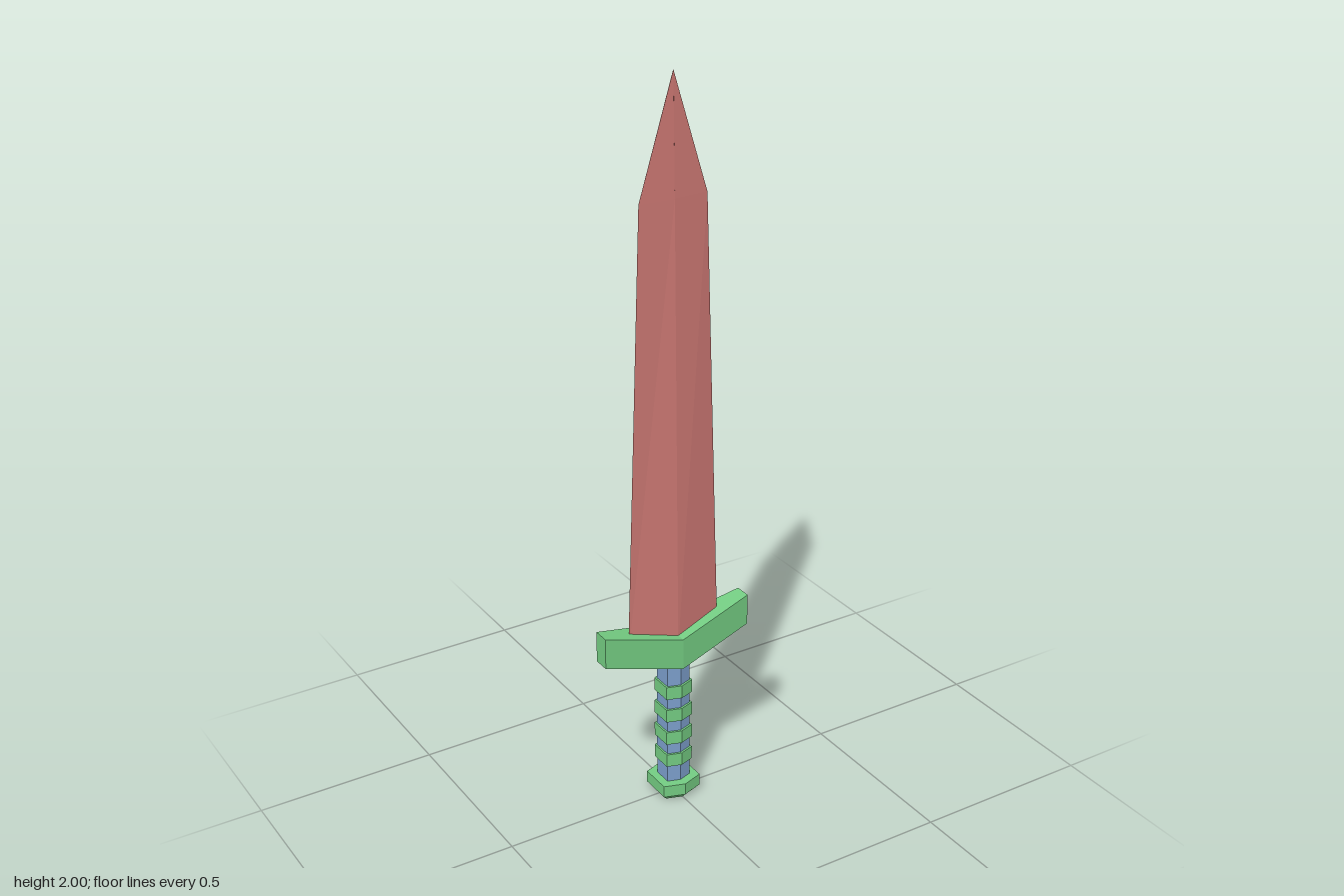
import * as THREE from 'three';

const mat = (color) => new THREE.MeshStandardMaterial({ color, flatShading: true });
const RED = mat(0xcc7873), GREEN = mat(0x74cc82), BLUE = mat(0x7c9fcc);

// Skins a list of equal-length rings of [x, y, z] points and caps both ends.
function loft(name, rings, material) {
  const n = rings[0].length, last = (rings.length - 1) * n, index = [];
  for (let i = 0; i < rings.length - 1; i++) {
    for (let j = 0; j < n; j++) {
      const k = (j + 1) % n, a = i * n + j, b = i * n + k;
      index.push(a, b, b + n, a, b + n, a + n);
    }
  }
  for (let j = 1; j < n - 1; j++) {
    index.push(0, j + 1, j, last, last + j, last + j + 1);
  }
  const indexed = new THREE.BufferGeometry();
  indexed.setAttribute('position', new THREE.Float32BufferAttribute(rings.flat(2), 3));
  indexed.setIndex(index);
  const geometry = indexed.toNonIndexed();
  geometry.computeVertexNormals();
  const mesh = new THREE.Mesh(geometry, material);
  mesh.name = name;
  return mesh;
}

// Ring shapes: a hexagon pointed to front and back, and a thin diamond
const hexRing = (y, w, d) => [[0, d], [w, d * 0.7], [w, -d * 0.7], [0, -d], [-w, -d * 0.7], [-w, d * 0.7]]
  .map(([x, z]) => [x, y, z]);
const diamondRing = (y, w, d) => [[0, y, d], [w, y, 0], [0, y, -d], [-w, y, 0]];

export function createModel() {
  const sword = new THREE.Group();
  sword.name = 'sword';

  // Blade, tapering to a point
  sword.add(loft('blade', [
    diamondRing(0.46, 0.139, 0.025),
    diamondRing(1.69, 0.097, 0.007),
    diamondRing(2.0, 0.0005, 0.0005),
  ], RED));

  // V-shaped crossguard, thickest in the middle
  const guardRing = (x, lo, hi, d) => [[x, lo, -d], [x, hi, -d], [x, hi, d], [x, lo, d]];
  sword.add(loft('crossguard', [
    guardRing(-0.22, 0.465, 0.553, 0.023),
    guardRing(0, 0.408, 0.497, 0.05),
    guardRing(0.22, 0.465, 0.553, 0.023),
  ], GREEN));

  // Grip with four raised bands
  sword.add(loft('grip', [hexRing(0.04, 0.035, 0.038), hexRing(0.43, 0.035, 0.038)], BLUE));
  for (let i = 0; i < 4; i++) {
    const y = 0.12 + i * 0.071;
    sword.add(loft('gripBand', [
      hexRing(y - 0.019, 0.04, 0.044),
      hexRing(y + 0.019, 0.04, 0.044),
    ], GREEN));
  }

  // Pommel with a chamfered foot
  sword.add(loft('pommel', [
    hexRing(0, 0.043, 0.048),
    hexRing(0.016, 0.057, 0.063),
    hexRing(0.05, 0.057, 0.063),
  ], GREEN));

  return sword;
}
